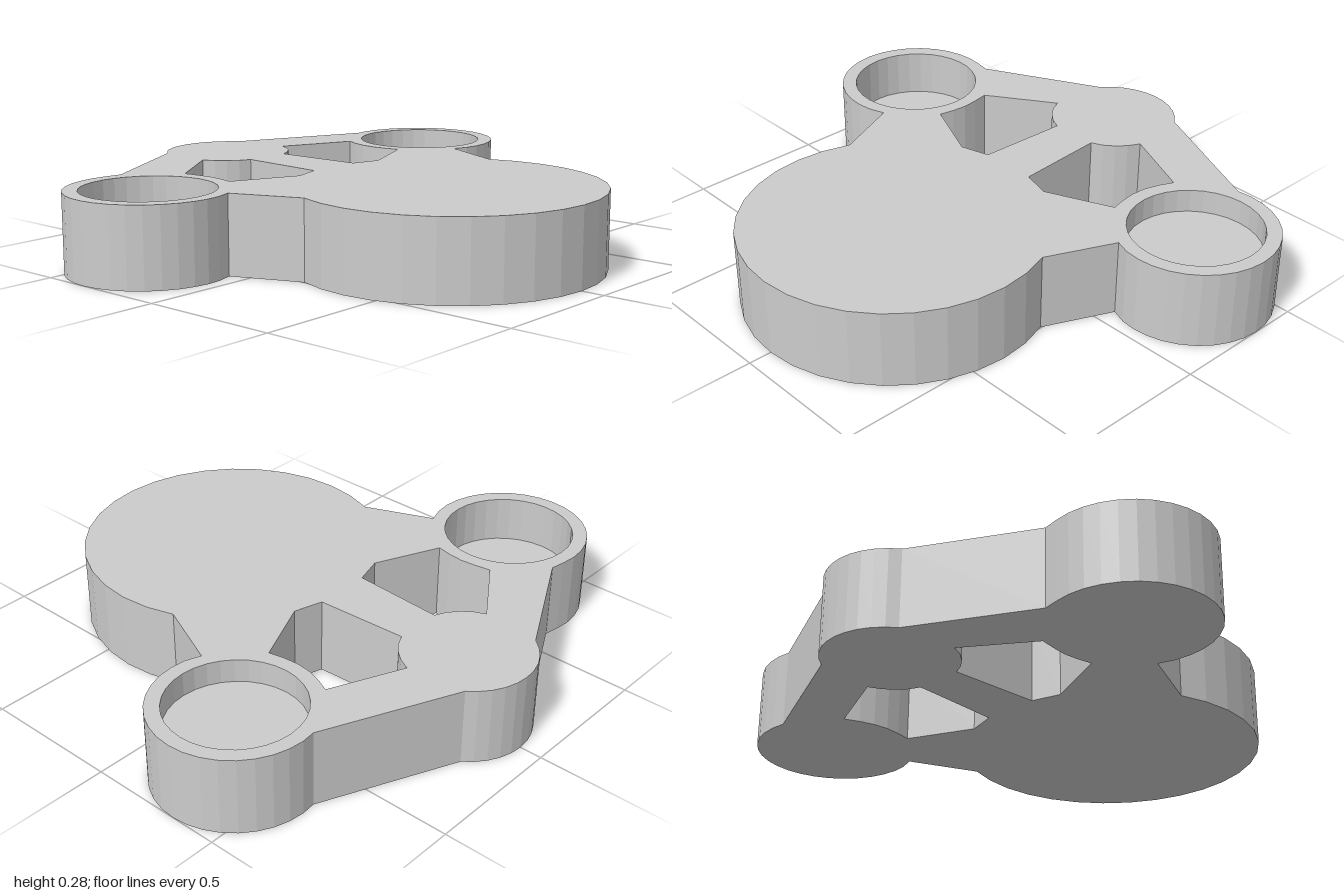
import * as THREE from 'three';

const HEIGHT = 0.28;
const POCKET_R = 0.233;
const STEP = Math.PI / 16;

// Discs of the plan, as [x, z, radius]
const BODY = [0.38, 0, 0.537];
const HUB = [-0.69, 0, 0.23];
const FRONT_CUP = [-0.33, 0.715, 0.285];
const BACK_CUP = [-0.33, -0.715, 0.285];

// Points on a disc's rim from one [x, z] to another, with increasing angle
function arc([cx, cz, r], from, to) {
  const a = Math.atan2(from[1] - cz, from[0] - cx);
  let b = Math.atan2(to[1] - cz, to[0] - cx);
  if (b < a) b += Math.PI * 2;
  const points = [from];
  for (let i = Math.ceil((a + 0.03) / STEP); i * STEP < b - 0.03; i++) {
    points.push([cx + r * Math.cos(i * STEP), cz + r * Math.sin(i * STEP)]);
  }
  return [...points, to];
}

// Plan points [x, z] to shape points
const plan = (points) => points.map(([x, z]) => new THREE.Vector2(x, -z));

export function createModel() {
  const group = new THREE.Group();
  const material = new THREE.MeshStandardMaterial({ color: 0xcccccc });

  // Plate outline: cups, hub and body joined by straight webs
  const shape = new THREE.Shape(plan([
    ...arc(FRONT_CUP, [-0.07, 0.6], [-0.6, 0.605]),
    ...arc(HUB, [-0.82, 0.19], [-0.82, -0.19]),
    ...arc(BACK_CUP, [-0.61, -0.665], [-0.07, -0.605]),
    ...arc(BODY, [0.175, -0.497], [0.175, 0.497]),
  ]));

  // Windows between the hub, cups and body
  const windows = [
    [
      ...arc(FRONT_CUP, [-0.445, 0.445], [-0.22, 0.447]),
      [-0.115, 0.21], [-0.145, 0.105],
      ...arc(HUB, [-0.48, 0.087], [-0.605, 0.21]),
    ],
    [
      ...arc(BACK_CUP, [-0.22, -0.447], [-0.49, -0.475]),
      ...arc(HUB, [-0.605, -0.213], [-0.48, -0.087]),
      [-0.145, -0.105], [-0.115, -0.21],
    ],
  ];
  for (const w of windows) shape.holes.push(new THREE.Path(plan(w)));

  // Round pockets; the back one is shallower
  for (const [name, [x, z], floor] of [
    ['frontPocketFloor', FRONT_CUP, 0.11],
    ['backPocketFloor', BACK_CUP, 0.195],
  ]) {
    const rim = [];
    for (let i = 0; i < 32; i++) {
      rim.push([x + POCKET_R * Math.sin(i * STEP), z + POCKET_R * Math.cos(i * STEP)]);
    }
    shape.holes.push(new THREE.Path(plan(rim)));

    const plug = new THREE.Mesh(
      new THREE.CylinderGeometry(POCKET_R, POCKET_R, floor, 32), material);
    plug.name = name;
    plug.position.set(x, floor / 2, z);
    group.add(plug);
  }

  const plate = new THREE.Mesh(
    new THREE.ExtrudeGeometry(shape, { depth: HEIGHT, bevelEnabled: false })
      .rotateX(-Math.PI / 2),
    material);
  plate.name = 'plate';
  group.add(plate);

  return group;
}
